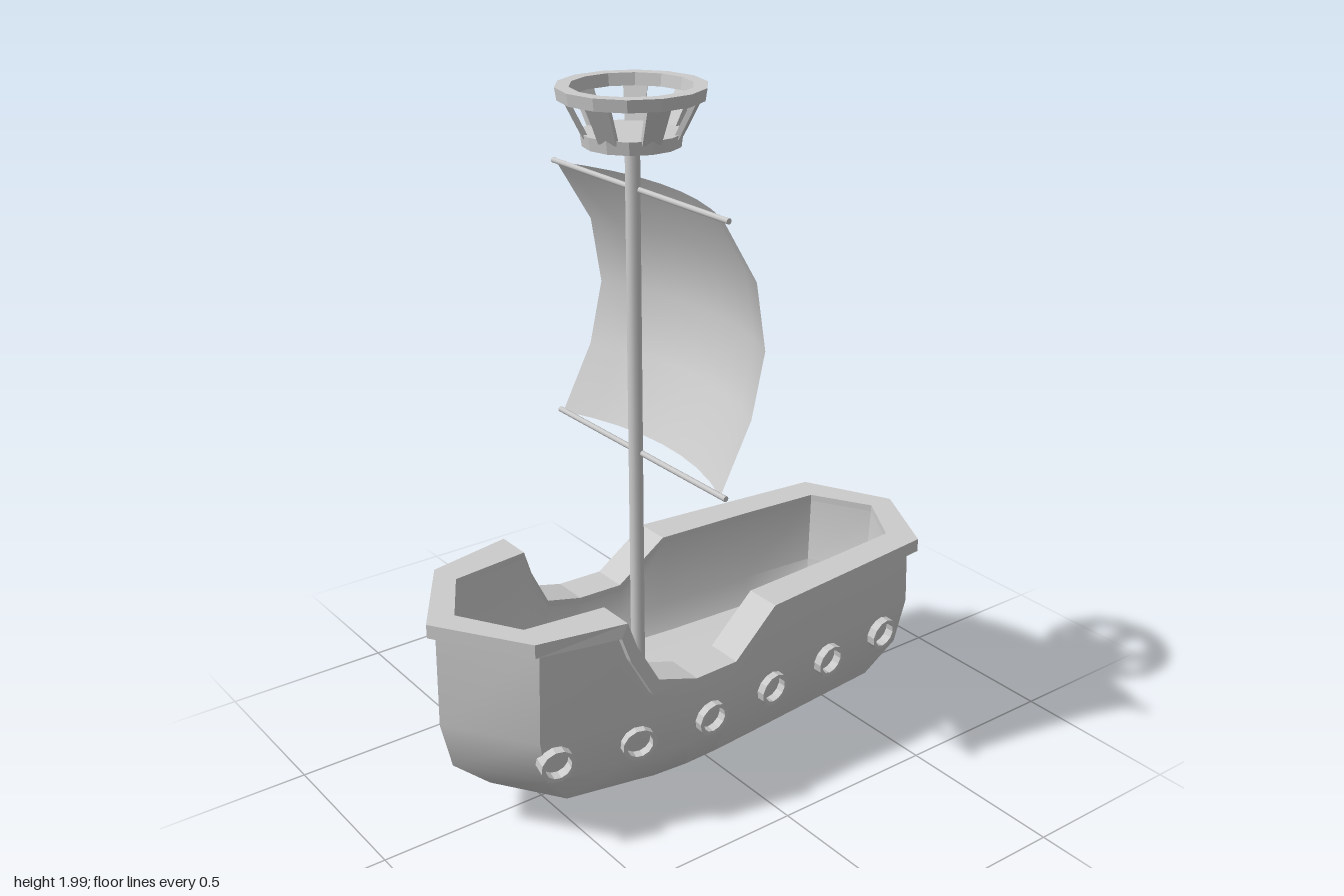
import * as THREE from 'three';
import { toCreasedNormals } from 'three/addons/utils/BufferGeometryUtils.js';

const material = new THREE.MeshStandardMaterial({ color: 0xcccccc, side: THREE.DoubleSide });
const flat = new THREE.MeshStandardMaterial({ color: 0xcccccc, side: THREE.DoubleSide, flatShading: true });
const MAST_Z = 0.155;

// Stations from bow to stern: rail outer x, z, rail inner x, z, underside height, underside z shift
const STATIONS = [
  [0, 0.83, 0, 0.745, 0.635, 0],
  [0.26, 0.66, 0.175, 0.64, 0.635, 0],
  [0.31, 0.405, 0.2, 0.405, 0.635, 0.02],
  [0.315, 0.38, 0.205, 0.38, 0.56, 0.02],
  [0.33, 0.32, 0.217, 0.32, 0.445, 0.02],
  [0.34, 0.2, 0.23, 0.2, 0.41, 0.005],
  [0.335, 0.06, 0.225, 0.06, 0.41, 0.008],
  [0.32, -0.09, 0.21, -0.09, 0.53, -0.01],
  [0.29, -0.4, 0.193, -0.4, 0.53, 0],
  [0.26, -0.7, 0.173, -0.65, 0.53, 0],
  [0, -0.83, 0, -0.75, 0.53, 0],
];

// Linear interpolation along [position, value] pairs in rising order
function interpolate(pairs, t) {
  for (let i = 1; i < pairs.length; i++) {
    const [a, va] = pairs[i - 1], [b, vb] = pairs[i];
    if (t <= b || i === pairs.length - 1) {
      return THREE.MathUtils.lerp(va, vb, THREE.MathUtils.clamp((t - a) / (b - a), 0, 1));
    }
  }
}

// Surface through rows of points
function skin(rows, closed) {
  const n = rows.length, m = rows[0].length, index = [];
  for (let i = 0; i < (closed ? n : n - 1); i++) {
    for (let j = 0; j < m - 1; j++) {
      const a = i * m + j, b = a + 1, c = ((i + 1) % n) * m + j, d = c + 1;
      index.push(a, b, c, b, d, c);
    }
  }
  const g = new THREE.BufferGeometry();
  g.setAttribute('position', new THREE.Float32BufferAttribute(rows.flat(2), 3));
  g.setIndex(index);
  g.computeVertexNormals();
  return g;
}

// Half sections on the left side mirrored into a full closed loop
function mirroredSkin(section) {
  const half = STATIONS.map(section);
  const other = half.slice(1, -1).reverse().map(row => row.map(([x, y, z]) => [-x, y, z]));
  return skin([...half, ...other], true);
}

const KEEL = [[-0.69, 0.1], [-0.25, 0.04], [0.2, 0.005], [0.34, 0.02], [0.67, 0.12]];
const hullWidth = z => interpolate(
  STATIONS.map(s => [s[1], Math.max(0, s[0] - 0.02)]).reverse(), z);

function hullSection([xo, zo, , , y, dz]) {
  const x = Math.max(0, xo - 0.02);
  const z = (zo + dz) * 0.965;
  const zb = z * (z > 0 ? 0.83 : 0.86);
  const keel = interpolate(KEEL, zb);
  return [
    [x, y + 0.01, zo + dz - Math.sign(zo) * 0.025 * (Math.abs(zo) > 0.6)],
    [x, 0.36, z * 1.01],
    [x * 0.94, 0.22, z * 0.97],
    [x * 0.76, x ? 0.11 : keel, zb],
    [0, keel, zb],
  ];
}

function innerSection([, , xi, zi, y]) {
  return [
    [0, 0.27, zi * 0.92],
    [xi * 0.75, 0.28, zi * 0.93],
    [xi * 0.95, 0.35, zi * 0.98],
    [xi, y + 0.02, zi],
  ];
}

function railSection([xo, zo, xi, zi, y, dz]) {
  const t = y + 0.04;
  return [[xi, t, zi], [xo, t, zo], [xo, y, zo + dz], [xi, y, zi + dz], [xi, t, zi]];
}

// Ring with a rectangular section around the y axis
function ring(inner, outer, bottom, top, sides, innerBottom = inner, outerBottom = outer) {
  const points = [[innerBottom, bottom], [outerBottom, bottom], [outer, top], [inner, top], [innerBottom, bottom]];
  return new THREE.LatheGeometry(points.map(p => new THREE.Vector2(...p)), sides);
}

export function createModel() {
  const model = new THREE.Group();
  const add = (name, geometry, parent = model, mat = material) => {
    const mesh = new THREE.Mesh(geometry, mat);
    mesh.name = name;
    parent.add(mesh);
    return mesh;
  };

  // Hull shell, inside and rail
  add('hull', toCreasedNormals(mirroredSkin(hullSection), 0.7));
  add('hullInside', toCreasedNormals(mirroredSkin(innerSection), 0.9));
  add('rail', mirroredSkin(railSection), model, flat);

  // Portholes turned to follow the planking
  const portGeometry = ring(0.038, 0.05, -0.025, 0.022, 12);
  for (let i = 0; i < 6; i++) {
    const z = 0.6 - i * 0.234;
    const slope = (hullWidth(z + 0.03) - hullWidth(z - 0.03)) / 0.06;
    for (const side of [1, -1]) {
      const port = add('porthole', portGeometry, model, flat);
      port.position.set(side * hullWidth(z) * 0.975, 0.29, z);
      port.quaternion.setFromUnitVectors(
        new THREE.Vector3(0, 1, 0), new THREE.Vector3(side, -0.1, -side * slope * side).normalize());
    }
  }

  // Mast
  const mast = add('mast', new THREE.CylinderGeometry(0.02, 0.02, 1.59, 12));
  mast.position.set(0, 1.065, MAST_Z);

  // Billowing sail between two yards
  const edge = [[0.99, 0.15], [1.18, 0.05], [1.36, 0.008], [1.55, 0.04], [1.73, 0.15]];
  const rows = [];
  for (let i = 0; i <= 8; i++) {
    const u = i / 4 - 1;
    rows.push(edge.map(([y, z]) => [u * 0.37, y, z - 0.085 * (1 - u * u)]));
  }
  add('sail', skin(rows, false));
  for (const y of [0.99, 1.73]) {
    const yard = add('yard', new THREE.CylinderGeometry(0.008, 0.008, 0.78, 8));
    yard.rotation.z = Math.PI / 2;
    yard.position.set(0, y, 0.147);
  }

  // Lookout basket
  const nest = new THREE.Group();
  nest.name = 'lookout';
  nest.position.z = MAST_Z;
  model.add(nest);
  const floor = add('lookoutFloor', new THREE.CylinderGeometry(0.135, 0.13, 0.035, 14), nest, flat);
  floor.position.y = 1.865;
  add('lookoutRail', ring(0.16, 0.197, 1.967, 2, 14, 0.155, 0.192), nest, flat);
  for (let i = 0; i < 7; i++) {
    const pivot = new THREE.Group();
    pivot.rotation.y = Math.PI + i * Math.PI * 2 / 7;
    nest.add(pivot);
    const g = new THREE.BoxGeometry(0.065, 0.115, 0.014);
    const p = g.attributes.position;
    for (let k = 0; k < p.count; k++) if (p.getY(k) < 0) p.setX(k, p.getX(k) * 0.8);
    const slat = add('lookoutSlat', g, pivot, flat);
    slat.position.set(0, 1.925, 0.148);
    slat.rotation.x = 0.46;
  }
  return model;
}
